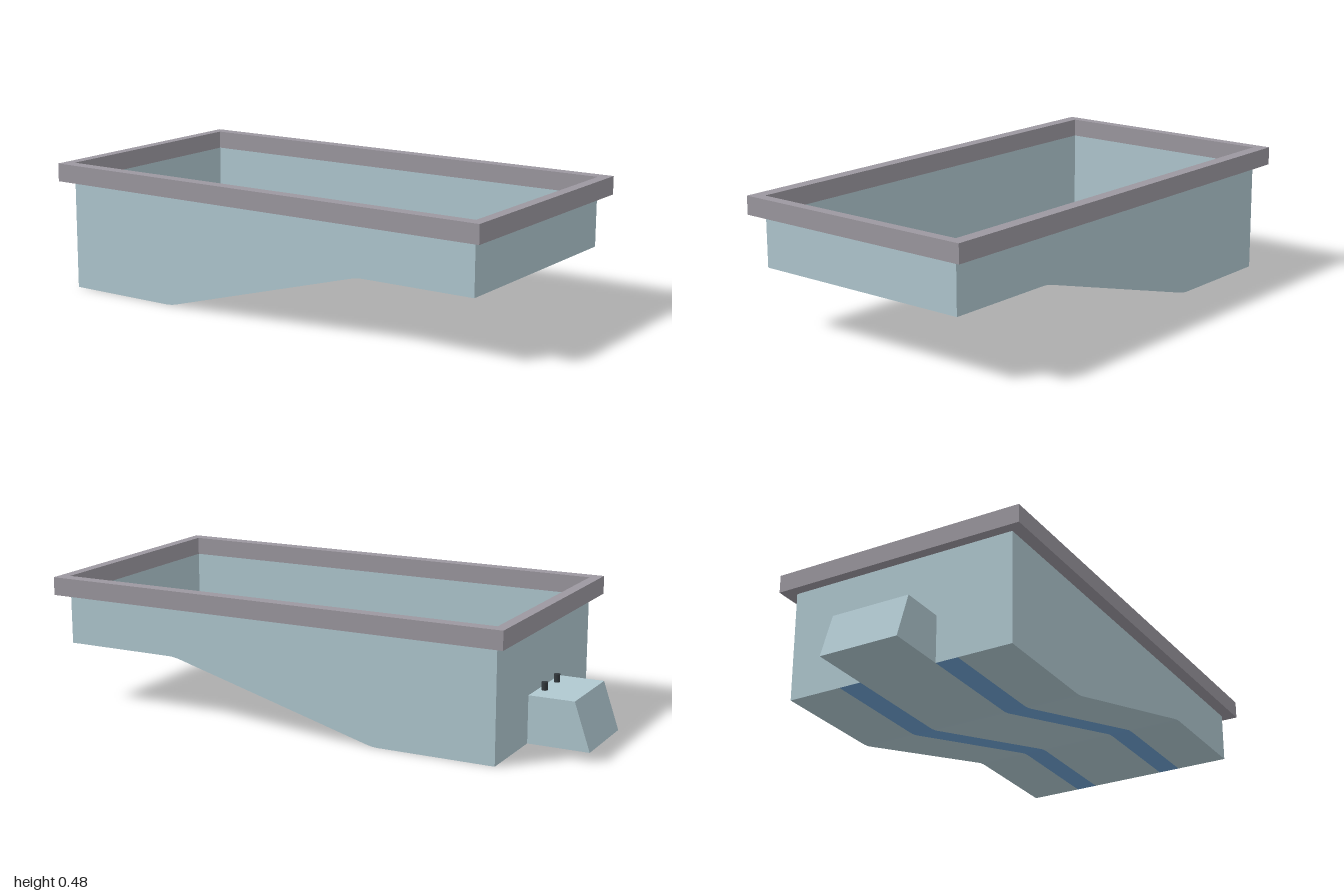
import * as THREE from 'three';

const paint = (color) => new THREE.MeshStandardMaterial({ color, side: THREE.DoubleSide });
const SHELL = paint(0xb0c8d0), STRIPE = paint(0x6c9fd0), RIM = paint(0x9c98a0), DARK = paint(0x33393d);

const HALF = 0.44, FRONT = 0.96, BACK = -0.77;   // basin walls
const RIM_Y = 0.415, RIM_TOP = 0.483;
const SHALLOW = 0.225, SUMP_W = 0.15, SUMP_H = 0.175;

// Sheet swept along x from a profile of [z, y] points
function sweep(profile, x0, x1, smooth) {
  const pos = [], idx = [];
  profile.forEach(([z, y], i) => {
    pos.push(x0, y, z, x1, y, z);
    if (i) {
      const a = 2 * i - 2;
      idx.push(a, a + 1, a + 2, a + 1, a + 3, a + 2);
    }
  });
  let g = new THREE.BufferGeometry();
  g.setAttribute('position', new THREE.Float32BufferAttribute(pos, 3));
  g.setIndex(idx);
  if (!smooth) g = g.toNonIndexed();
  g.computeVertexNormals();
  return g;
}

const flatShape = (pts) =>
  new THREE.ShapeGeometry(new THREE.Shape(pts.map(([a, b]) => new THREE.Vector2(a, b))));

// Flat panel in the z-y plane at a given x, facing away from the centre
function sidePanel(pts, x) {
  const g = flatShape(pts.map(([z, y]) => [-Math.sign(x) * z, y]));
  return g.rotateY(Math.sign(x) * Math.PI / 2).translate(x, 0, 0);
}

// Small rounded bend of the floor
function bend(a, b, c) {
  const curve = new THREE.QuadraticBezierCurve(...[a, b, c].map((p) => new THREE.Vector2(...p)));
  return curve.getPoints(4).map((p) => [p.x, p.y]);
}

export function createModel() {
  const group = new THREE.Group();
  const add = (name, geometry, material) => {
    const mesh = new THREE.Mesh(geometry, material);
    mesh.name = name;
    group.add(mesh);
    return mesh;
  };

  // Floor: shallow end, slope, deep end, divided into lanes
  const floor = [
    [FRONT, SHALLOW],
    ...bend([0.53, SHALLOW], [0.505, SHALLOW], [0.48, 0.218]),
    ...bend([-0.285, 0.007], [-0.31, 0], [-0.335, 0]),
    [BACK, 0],
  ];
  const lanes = [-HALF, -0.235, -0.15, 0.15, 0.235, HALF];
  for (let i = 0; i < 5; i++) {
    const stripe = i % 2 === 1;
    add(stripe ? 'laneStripe' : 'floor', sweep(floor, lanes[i], lanes[i + 1], true), stripe ? STRIPE : SHELL);
  }

  // Basin walls
  const sideOutline = [...floor, [BACK, RIM_Y], [FRONT, RIM_Y]];
  for (const s of [-1, 1]) add(s > 0 ? 'leftWall' : 'rightWall', sidePanel(sideOutline, s * HALF), SHELL);
  add('frontWall', sweep([[FRONT, RIM_Y], [FRONT, SHALLOW]], -HALF, HALF), SHELL);
  // Back wall is open towards the sump
  add('backWall', flatShape([
    [-HALF, 0], [-SUMP_W, 0], [-SUMP_W, SUMP_H], [SUMP_W, SUMP_H],
    [SUMP_W, 0], [HALF, 0], [HALF, RIM_Y], [-HALF, RIM_Y],
  ]).rotateY(Math.PI).translate(0, 0, BACK), SHELL);

  // Coping frame around the top
  const rim = new THREE.Shape();
  rim.moveTo(-0.488, -1).lineTo(0.488, -1).lineTo(0.488, 0.81).lineTo(-0.488, 0.81).closePath();
  const hole = new THREE.Path();
  hole.moveTo(-HALF, -FRONT).lineTo(-HALF, -BACK).lineTo(HALF, -BACK).lineTo(HALF, -FRONT).closePath();
  rim.holes.push(hole);
  add('rim', new THREE.ExtrudeGeometry(rim, { depth: RIM_TOP - RIM_Y, bevelEnabled: false })
    .rotateX(-Math.PI / 2).translate(0, RIM_Y, 0), RIM);

  // Sump box behind the deep end
  const sump = [[BACK, SUMP_H], [-0.94, SUMP_H], [-1, 0], [BACK, 0]];
  add('sumpShell', sweep(sump, -SUMP_W, SUMP_W), SHELL);
  for (const s of [-1, 1]) add('sumpSide', sidePanel(sump, s * SUMP_W), SHELL);

  // Pipe stubs through the sump top
  for (const s of [-1, 1]) {
    add('pipeStub', new THREE.CylinderGeometry(0.011, 0.011, 0.06, 16), DARK)
      .position.set(s * 0.06, SUMP_H, -0.795);
  }
  return group;
}
